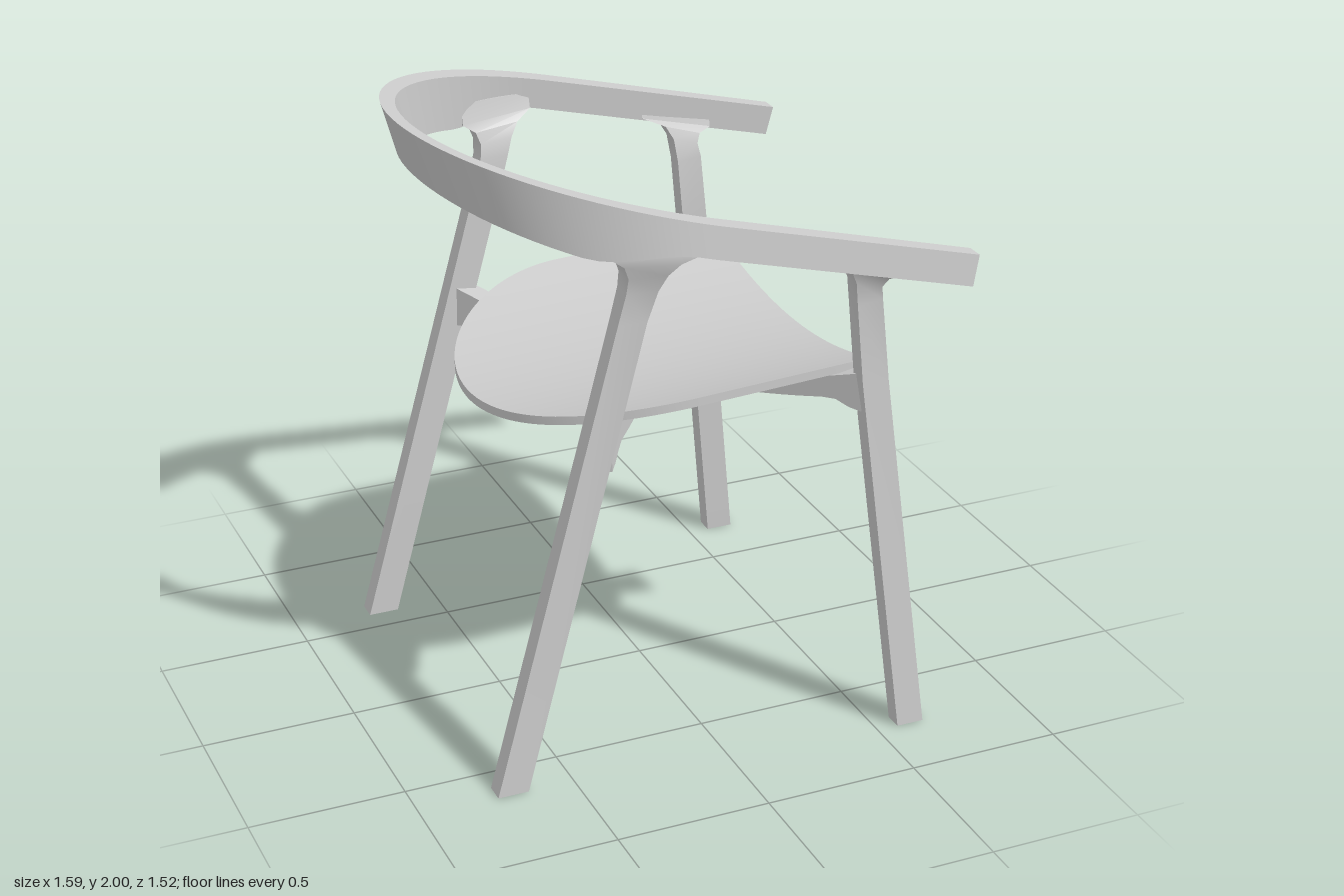
import * as THREE from 'three';
import { toCreasedNormals } from 'three/addons/utils/BufferGeometryUtils.js';

const material = new THREE.MeshStandardMaterial({ color: 0xcccccc });

// Skin a row of closed rings (each: top points, then bottom points reversed) and cap both ends.
function loft(name, rings, crease = 0.5) {
  const n = rings[0].length, last = (rings.length - 1) * n;
  const pos = rings.flat(2), index = [];
  for (let r = 0; r < rings.length - 1; r++) {
    for (let i = 0; i < n; i++) {
      const a = r * n + i, b = r * n + (i + 1) % n;
      index.push(a, b, b + n, a, b + n, a + n);
    }
  }
  for (let i = 0; i < n / 2 - 1; i++) {
    const j = n - 1 - i;
    index.push(i, j, j - 1, i, j - 1, i + 1);
    index.push(last + i, last + j - 1, last + j, last + i, last + i + 1, last + j - 1);
  }
  // Turn the faces outward when the enclosed volume comes out negative.
  const p = (i) => new THREE.Vector3().fromArray(pos, i * 3);
  let volume = 0;
  for (let i = 0; i < index.length; i += 3) {
    volume += p(index[i]).dot(p(index[i + 1]).cross(p(index[i + 2])));
  }
  if (volume < 0) index.reverse();
  const geometry = new THREE.BufferGeometry();
  geometry.setAttribute('position', new THREE.Float32BufferAttribute(pos, 3));
  geometry.setIndex(index);
  const mesh = new THREE.Mesh(toCreasedNormals(geometry, crease), material);
  mesh.name = name;
  return mesh;
}

// Bent-wood armrest and backrest: one U-shaped band sloping down to the front.
function backRail() {
  const rings = [];
  const ring = (xo, zo, xi, zi, back) => {
    const top = (x) => 1.791 - 0.261 * x;
    const h = 0.097 + 0.083 * THREE.MathUtils.smoothstep(-xo, 0.1, 0.45);
    const dx = -0.022 + 0.077 * back, dz = 0.008 * (1 - back) * Math.sign(zo);
    const drop = h;
    rings.push([
      [xo, top(xo), zo], [xi, top(xi), zi],
      [xi + dx, top(xi) - drop, zi + dz], [xo + dx, top(xo) - drop, zo + dz],
    ]);
  };
  const arm = (t, s) => ring(0.79 * t, s * (0.73 + 0.013 * t), 0.79 * t, s * (0.66 + 0.025 * t), 0);
  for (let i = 6; i > 0; i--) arm(i / 6, 1);
  for (let i = 0; i <= 48; i++) {
    const a = (i / 48) * Math.PI, s = Math.sin(a), c = Math.cos(a);
    ring(-0.8 * s, 0.73 * c, -0.755 * s, 0.66 * c, s * s);
  }
  for (let i = 1; i <= 6; i++) arm(i / 6, -1);
  return loft('backRail', rings);
}

// Leg sections: [x, y, inner z, outer z] for the rear edge, then the front edge.
const rearLeg = [
  [[-0.75, 0, 0.585, 0.65], [-0.65, 0, 0.585, 0.65]],
  [[-0.34, 1.5, 0.567, 0.63], [-0.247, 1.5, 0.567, 0.632]],
  [[-0.315, 1.6, 0.567, 0.635], [-0.22, 1.6, 0.57, 0.65]],
  [[-0.312, 1.65, 0.57, 0.645], [-0.2, 1.655, 0.585, 0.675]],
  [[-0.327, 1.69, 0.575, 0.65], [-0.17, 1.695, 0.61, 0.7]],
  [[-0.37, 1.72, 0.575, 0.64], [-0.11, 1.72, 0.65, 0.715]],
  [[-0.37, 1.79, 0.59, 0.63], [-0.11, 1.77, 0.665, 0.705]],
];
const frontLeg = [
  [[0.57, 0, 0.7, 0.76], [0.66, 0, 0.7, 0.76]],
  [[0.437, 1.2, 0.632, 0.692], [0.525, 1.2, 0.632, 0.692]],
  [[0.412, 1.46, 0.63, 0.69], [0.496, 1.47, 0.63, 0.69]],
  [[0.4, 1.54, 0.638, 0.7], [0.487, 1.515, 0.638, 0.7]],
  [[0.375, 1.585, 0.65, 0.718], [0.5, 1.545, 0.65, 0.718]],
  [[0.3, 1.617, 0.674, 0.737], [0.55, 1.553, 0.678, 0.74]],
  [[0.3, 1.67, 0.685, 0.73], [0.55, 1.6, 0.69, 0.735]],
];
const leg = (name, sections, side) => loft(name, sections.map(([a, b]) => [
  [a[0], a[1], side * a[2]], [b[0], b[1], side * b[2]],
  [b[0], b[1], side * b[3]], [a[0], a[1], side * a[3]],
]));

// Dished seat surface, curved across the width.
const seatY = (x, z) => 1.104 + 0.05 * x + 0.29 * z * z;
const seatThickness = 0.028;

function seat() {
  const stations = [];
  for (let i = 0; i <= 28; i++) {
    const a = 0.015 + (i / 28) * (Math.PI / 2 - 0.015);
    stations.push([-0.05 - 0.535 * Math.cos(a), 0.585 * Math.sin(a)]);
  }
  stations.push([0.15, 0.585], [0.35, 0.585], [0.495, 0.585], [0.513, 0.58], [0.521, 0.567], [0.524, 0.55]);
  const rings = stations.map(([x, w]) => {
    const across = Array.from({ length: 25 }, (_, i) => w * (i / 12 - 1));
    const bow = (z) => x + (x > 0.5 ? 0.006 * (1 - (z / w) ** 2) : 0);
    return [
      ...across.map((z) => [bow(z), seatY(x, z), z]),
      ...across.reverse().map((z) => [bow(z), seatY(x, z) - seatThickness, z]),
    ];
  });
  return loft('seat', rings);
}

// Curved stretcher running diagonally under the seat from a front leg to the opposite rear leg.
function stretcher(side) {
  const from = new THREE.Vector2(0.475, 0.655), to = new THREE.Vector2(-0.385, -0.6);
  const dir = to.clone().sub(from).normalize();
  const rings = [];
  for (let i = 0; i <= 32; i++) {
    const t = i / 32, c = from.clone().lerp(to, t);
    const half = 0.03 + 0.006 * t;
    const top = seatY(c.x, c.y) - seatThickness + 0.002;
    // Gussets deepen the stretcher where it meets the legs.
    const rear = THREE.MathUtils.smoothstep(t, 0.9, 1) * 0.06;
    const front = THREE.MathUtils.smoothstep(1 - t, 0.92, 1) * 0.05;
    const bottom = top - 0.047 - 0.08 * c.y * c.y - rear - front;
    const ox = -dir.y * half, oz = dir.x * half;
    rings.push([
      [c.x + ox, top, side * (c.y + oz)], [c.x - ox, top, side * (c.y - oz)],
      [c.x - ox, bottom, side * (c.y - oz)], [c.x + ox, bottom, side * (c.y + oz)],
    ]);
  }
  return loft('stretcher', rings);
}

export function createModel() {
  const chair = new THREE.Group();
  chair.name = 'armchair';
  chair.add(backRail(), seat());
  for (const side of [1, -1]) {
    chair.add(leg('rearLeg', rearLeg, side), leg('frontLeg', frontLeg, side), stretcher(side));
  }
  return chair;
}
